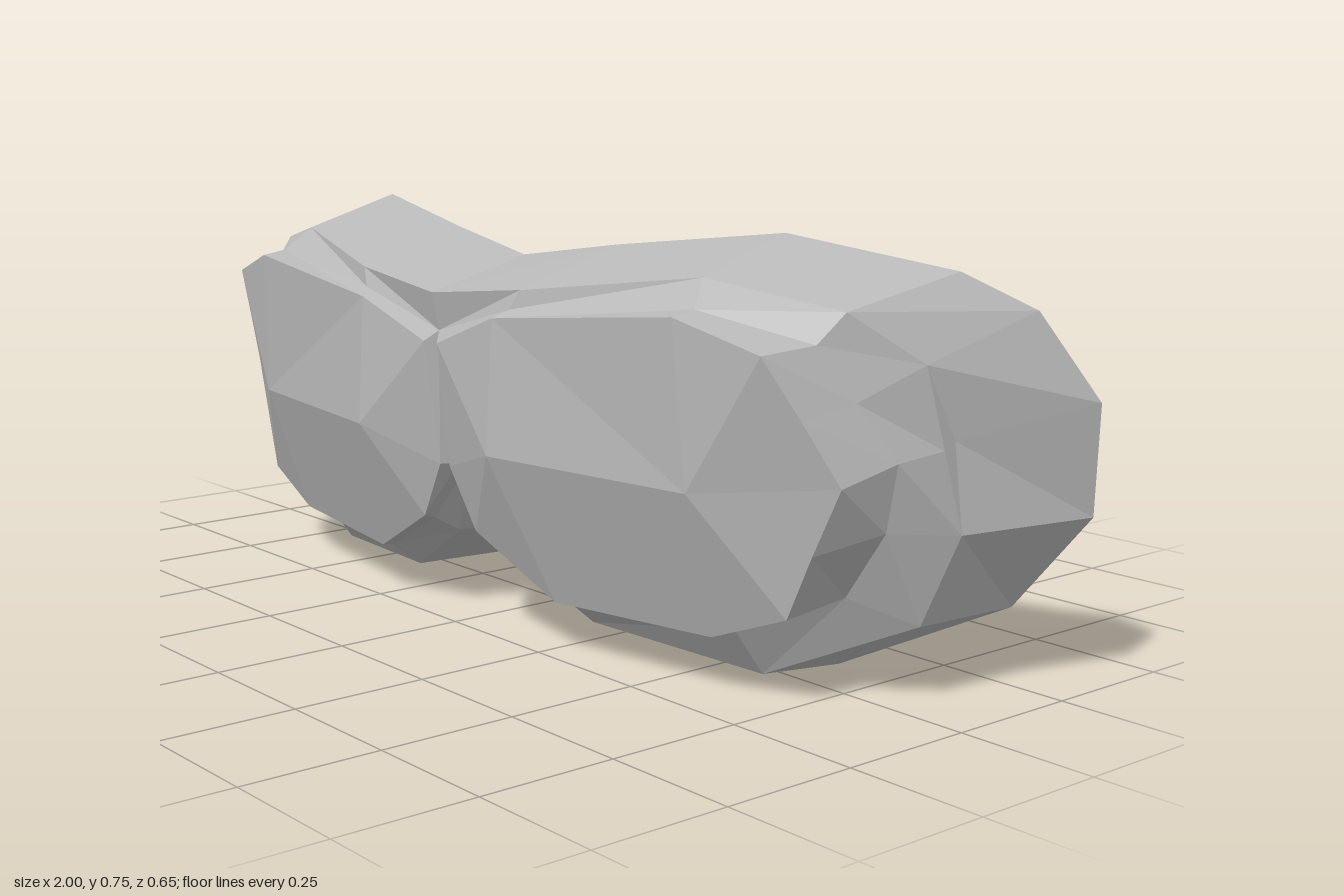
import * as THREE from 'three';

const V = (x, y, z) => new THREE.Vector3(x, y, z);

// Half outlines on the +x side, from top centre round the temple to the nose
const rim = [
  V(0, 0.675, 0.085), V(0.24, 0.71, 0.06), V(0.58, 0.75, -0.015), V(0.85, 0.7, -0.14),
  V(0.93, 0.637, -0.24), V(1, 0.487, -0.32), V(0.99, 0.295, -0.325), V(0.89, 0.135, -0.25),
  V(0.63, 0, -0.115), V(0.26, 0.035, -0.08), V(0.07, 0.14, -0.02), V(0, 0.24, -0.03),
];
const front = [
  V(0, 0.62, 0.295), V(0.24, 0.645, 0.28), V(0.59, 0.69, 0.18), V(0.82, 0.65, 0.09),
  V(0.89, 0.565, -0.02), V(0.905, 0.44, -0.075), V(0.925, 0.29, -0.075), V(0.875, 0.135, -0.04),
  V(0.63, 0.018, 0.07), V(0.27, 0.04, 0.14), V(0.08, 0.15, 0.18), V(0, 0.29, 0.22),
];
const seat = [
  V(0, 0.55, 0.28), V(0.22, 0.61, 0.29), V(0.62, 0.645, 0.225), V(0.8, 0.6, 0.135),
  V(0.845, 0.51, 0.09), V(0.89, 0.415, 0.04), V(0.87, 0.3, 0.042), V(0.79, 0.18, 0.045),
  V(0.63, 0.105, 0.135), V(0.27, 0.09, 0.2), V(0.09, 0.18, 0.23), V(0, 0.3, 0.24),
];
const lens = [
  V(0.02, 0.53, 0.3), V(0.2, 0.595, 0.312), V(0.62, 0.637, 0.275), V(0.78, 0.59, 0.235),
  V(0.825, 0.49, 0.19), V(0.87, 0.385, 0.145), V(0.82, 0.27, 0.155), V(0.775, 0.16, 0.163),
  V(0.62, 0.1, 0.18), V(0.27, 0.092, 0.228), V(0.08, 0.19, 0.26), V(0.015, 0.3, 0.27),
];

// Triangles joining an outer outline to an inner one
function band(outer, inner, closed = false) {
  const tris = [], n = outer.length;
  for (let k = 0; k < (closed ? n : n - 1); k++) {
    const j = (k + 1) % n;
    tris.push([outer[k], inner[k], outer[j]], [outer[j], inner[k], inner[j]]);
  }
  return tris;
}

// Faceted lens with two raised points
function lensFaces() {
  const p = V(0.2, 0.355, 0.325), q = V(0.64, 0.355, 0.26), tris = [];
  for (let k = 0; k < lens.length; k++) {
    const hub = k >= 1 && k <= 8 ? q : p;
    tris.push([lens[k], hub, lens[(k + 1) % lens.length]]);
  }
  tris.push([p, q, lens[1]], [p, lens[9], q]);
  return tris;
}

function makeMesh(name, tris, side, material) {
  const pos = [];
  for (const [a, b, c] of tris) {
    for (const v of side > 0 ? [a, b, c] : [a, c, b]) pos.push(v.x * side, v.y, v.z);
  }
  const geo = new THREE.BufferGeometry();
  geo.setAttribute('position', new THREE.Float32BufferAttribute(pos, 3));
  geo.computeVertexNormals();
  const mesh = new THREE.Mesh(geo, material);
  mesh.name = name;
  return mesh;
}

export function createModel() {
  const grey = new THREE.MeshStandardMaterial({ color: 0xb8b8b8, side: THREE.DoubleSide, flatShading: true });
  grey.name = 'grey';

  // The face is straight across the temple notch, which gets its own sliver
  const face = front.slice();
  face[5] = front[4].clone().lerp(front[6], 0.5);
  const notch = [front[4], front[6], front[5]];

  const group = new THREE.Group();
  group.name = 'goggles';
  for (const [label, side] of [['left', 1], ['right', -1]]) {
    const half = new THREE.Group();
    half.name = label + 'Half';
    half.add(
      makeMesh('frameBand', band(rim, front), side, grey),
      makeMesh('frameFace', [...band(face, seat), notch], side, grey),
      makeMesh('lensEdge', band(seat, lens, true), side, grey),
      makeMesh('lens', lensFaces(), side, grey),
    );
    group.add(half);
  }
  return group;
}
